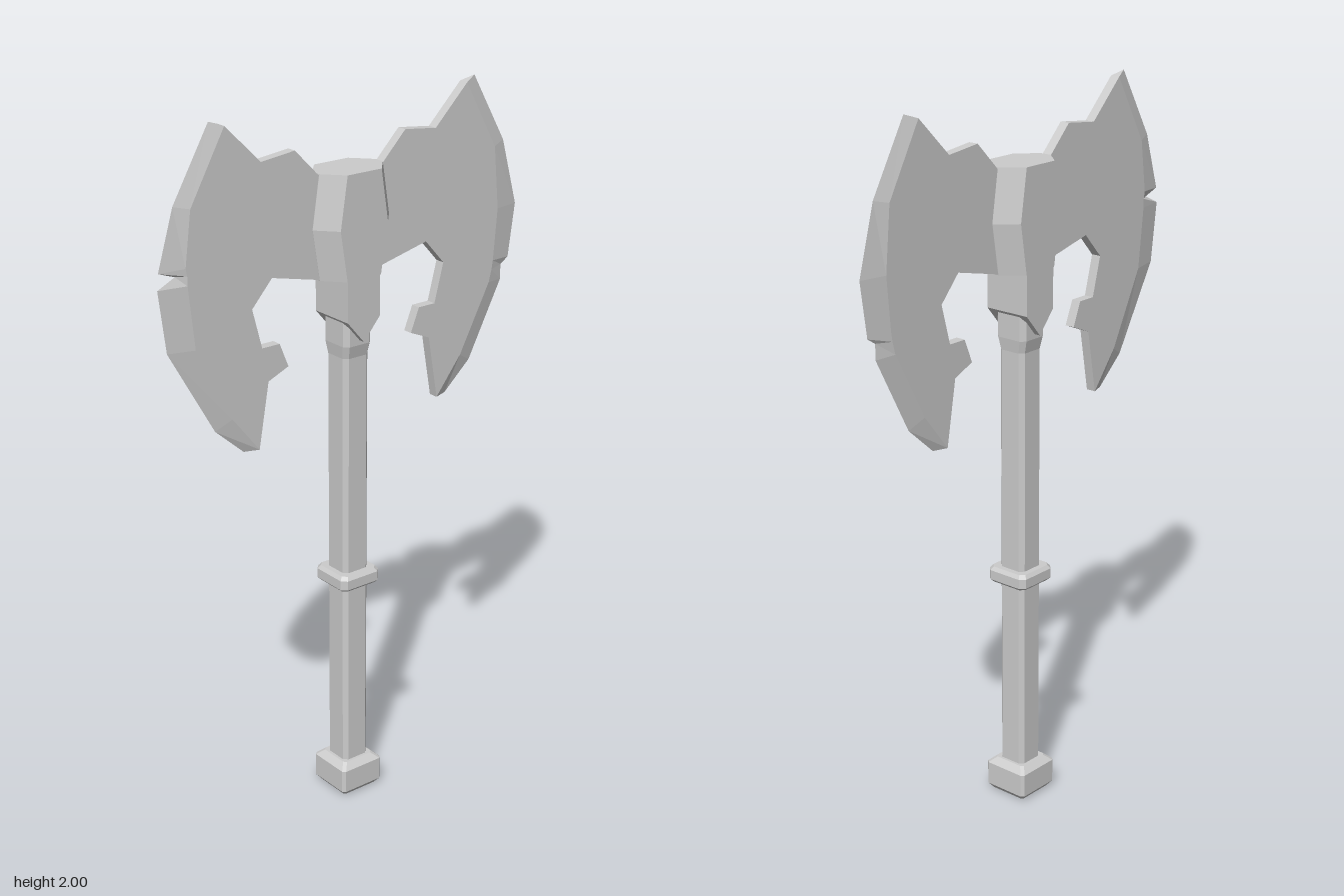
import * as THREE from 'three';

const steel = new THREE.MeshStandardMaterial({ color: 0xcccccc, flatShading: true });

// Mesh from a list of flat polygons (fans), corners counter-clockwise from outside
function facetMesh(name, polygons) {
  const pos = [];
  for (const p of polygons)
    for (let i = 1; i < p.length - 1; i++) pos.push(...p[0], ...p[i], ...p[i + 1]);
  const geo = new THREE.BufferGeometry();
  geo.setAttribute('position', new THREE.Float32BufferAttribute(pos, 3));
  geo.computeVertexNormals();
  const mesh = new THREE.Mesh(geo, steel);
  mesh.name = name;
  return mesh;
}

// Stack of eight-sided sections, bottom to top: [y, halfX, halfZ, cutX, cutZ]
function loft(name, sections) {
  const rings = sections.map(([y, hx, hz, cx, cz = cx]) => [
    [hx, y, hz - cz], [hx, y, cz - hz], [hx - cx, y, -hz], [cx - hx, y, -hz],
    [-hx, y, cz - hz], [-hx, y, hz - cz], [cx - hx, y, hz], [hx - cx, y, hz],
  ]);
  const faces = [[...rings[0]].reverse(), rings[rings.length - 1]];
  for (let r = 0; r < rings.length - 1; r++)
    for (let i = 0; i < 8; i++) {
      const j = (i + 1) % 8;
      faces.push([rings[r][i], rings[r][j], rings[r + 1][j], rings[r + 1][i]]);
    }
  return facetMesh(name, faces);
}

// Blade outline as [z, y]; cutting points are [ridgeZ, ridgeY, edgeZ, edgeY]
const upperBack = [[0.05, 1.82], [0.105, 1.82], [0.178, 1.894], [0.282, 1.882]];
const lowerBack = [[0.27, 1.306], [0.206, 1.333], [0.233, 1.4], [0.288, 1.4],
  [0.317, 1.51], [0.254, 1.58], [0.105, 1.545], [0.05, 1.545]];
const tip = [[0.388, 1.987, 0.425, 2.0], [0.493, 1.8, 0.535, 1.81]];
const heel = [[0.385, 1.23, 0.43, 1.203], [0.302, 1.125, 0.343, 1.125]];
const frontCut = [[0.512, 1.655, 0.583, 1.652], [0.508, 1.635, 0.535, 1.635],
  [0.508, 1.61, 0.587, 1.61], [0.49, 1.44, 0.566, 1.443]];
const backCut = [[0.51, 1.625, 0.587, 1.625], [0.498, 1.48, 0.566, 1.475],
  [0.494, 1.455, 0.54, 1.458], [0.485, 1.42, 0.54, 1.415]];

function blade(name, side, cut) {
  const h = 0.014;
  const line = [...upperBack, ...tip, ...cut, ...heel, ...lowerBack]
    .map(([z, y, ez, ey]) => ({
      flat: new THREE.Vector2(side * z, y),
      right: [h, y, side * z],
      left: [-h, y, side * z],
      edge: ez === undefined ? null : [0, ey, side * ez],
    }));
  if (side > 0) line.reverse();
  const faces = [];
  for (const [a, b, c] of THREE.ShapeUtils.triangulateShape(line.map((p) => p.flat), []))
    faces.push([line[c].right, line[b].right, line[a].right], [line[a].left, line[b].left, line[c].left]);
  line.forEach((a, i) => {
    const b = line[(i + 1) % line.length];
    if (a.edge && b.edge) {
      // sharpened bevel
      faces.push([a.right, b.right, b.edge, a.edge], [a.edge, b.edge, b.left, a.left]);
    } else {
      // blunt back, with a small cap where the bevel starts or stops
      faces.push([a.right, b.right, b.left, a.left]);
      if (a.edge) faces.push([a.edge, a.right, a.left]);
      if (b.edge) faces.push([b.right, b.edge, b.left]);
    }
  });
  return facetMesh(name, faces);
}

export function createModel() {
  const axe = new THREE.Group();
  axe.name = 'doubleAxe';

  // Handle
  axe.add(
    loft('pommel', [[0, 0.056, 0.056, 0.006], [0.016, 0.069, 0.069, 0.008],
      [0.083, 0.069, 0.069, 0.008], [0.1, 0.05, 0.05, 0.008]]),
    loft('shaft', [[0.09, 0.042, 0.042, 0.012], [1.45, 0.042, 0.042, 0.012]]),
    loft('gripRing', [[0.65, 0.058, 0.058, 0.012], [0.658, 0.066, 0.066, 0.014],
      [0.685, 0.066, 0.066, 0.014], [0.695, 0.058, 0.058, 0.012]]),
    loft('collar', [[1.32, 0.042, 0.042, 0.012], [1.355, 0.05, 0.046, 0.013],
      [1.45, 0.05, 0.046, 0.013]]),
  );

  // Socket under the head, pointed at the sides
  const outline = new THREE.Shape([[-0.053, 1.55], [-0.053, 1.43], [0, 1.368], [0.053, 1.43], [0.053, 1.55]]
    .map(([x, y]) => new THREE.Vector2(x, y)));
  const socketGeo = new THREE.ExtrudeGeometry(outline, { depth: 0.136, bevelEnabled: false });
  socketGeo.translate(0, 0, -0.068).rotateY(Math.PI / 2);
  const socket = new THREE.Mesh(socketGeo, steel);
  socket.name = 'socket';

  // Head block and the two blades
  axe.add(
    socket,
    loft('headBlock', [[1.542, 0.069, 0.103, 0.054, 0.048], [1.68, 0.069, 0.125, 0.054, 0.048],
      [1.822, 0.069, 0.103, 0.054, 0.048]]),
    blade('frontBlade', 1, frontCut),
    blade('backBlade', -1, backCut),
  );
  return axe;
}
